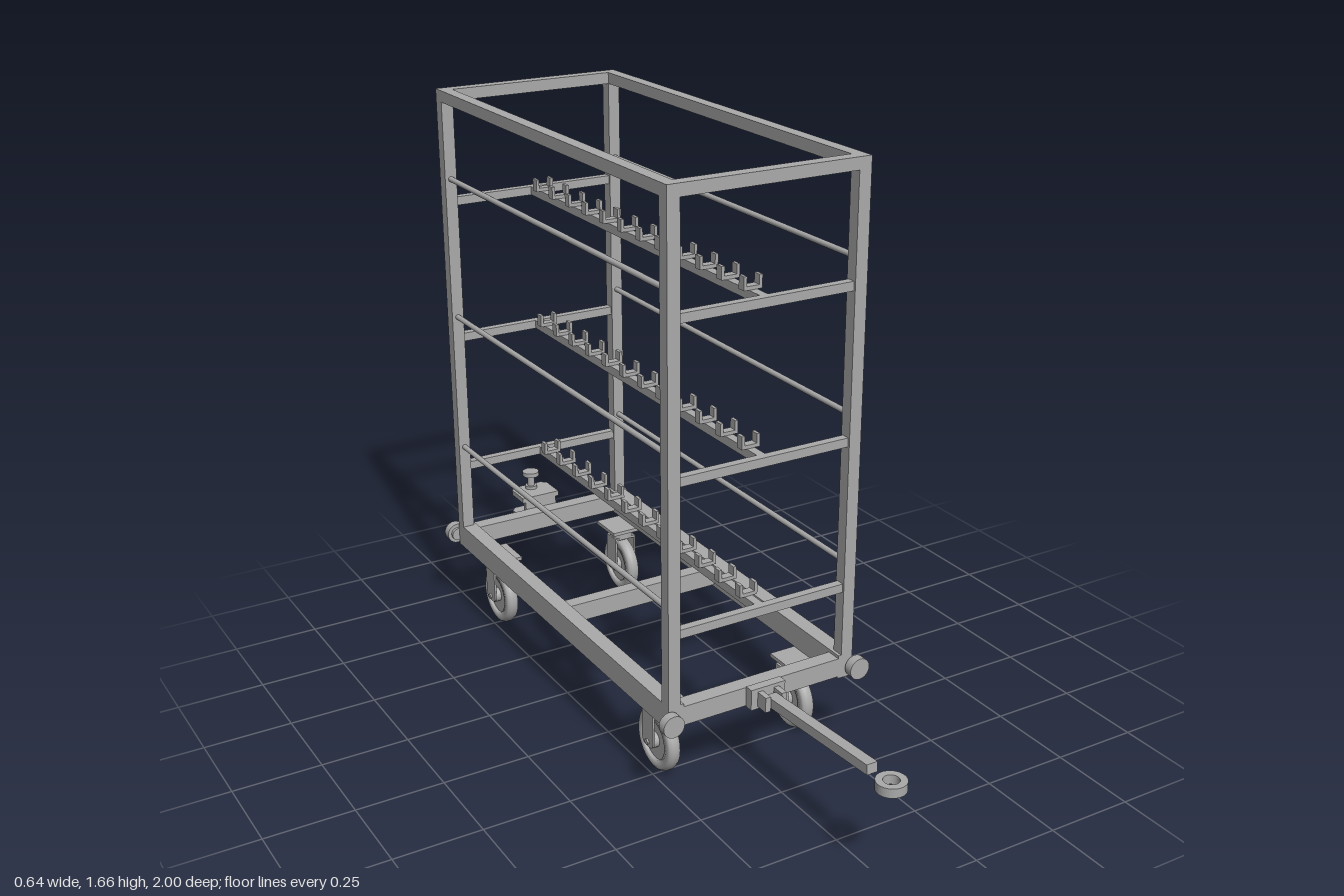
import * as THREE from 'three';

export function createModel() {
  const steel = new THREE.MeshStandardMaterial({ color: 0xaaaaaa });
  steel.name = 'steelGrey';
  const root = new THREE.Group();
  root.name = 'towableRackTrolley';

  const add = (parent, name, geo, x = 0, y = 0, z = 0) => {
    const m = new THREE.Mesh(geo, steel);
    m.name = name;
    m.position.set(x, y, z);
    parent.add(m);
    return m;
  };
  // Box given by its min/max limits on each axis
  const box = (parent, name, [x0, x1], [y0, y1], [z0, z1]) =>
    add(parent, name, new THREE.BoxGeometry(x1 - x0, y1 - y0, z1 - z0),
      (x0 + x1) / 2, (y0 + y1) / 2, (z0 + z1) / 2);
  // Cylinder along a chosen axis
  const rod = (parent, name, r, len, axis, x, y, z, r2 = r) => {
    const g = new THREE.CylinderGeometry(r, r2, len, 32);
    if (axis === 'x') g.rotateZ(Math.PI / 2);
    if (axis === 'z') g.rotateX(Math.PI / 2);
    return add(parent, name, g, x, y, z);
  };
  const group = (name) => {
    const g = new THREE.Group();
    g.name = name;
    root.add(g);
    return g;
  };

  const F = 0.402, B = -0.904, W = 0.288, T = 0.036; // frame ends, half width, tube

  // Upright frame: four posts joined by a top rectangle
  const frame = group('frame');
  for (const s of [-1, 1]) {
    const xs = s < 0 ? [-W, -W + T] : [W - T, W];
    for (const z of [F - T, B]) box(frame, 'post', xs, [0.29, 1.627], [z, z + T]);
    box(frame, 'topSideRail', xs, [1.627, 1.66], [B, F]);
  }
  for (const z of [F - T, B])
    box(frame, 'topEndRail', [-W + T, W - T], [1.627, 1.66], [z, z + T]);

  // Base: deep side beams, end beams and one middle beam
  const base = group('base');
  for (const s of [-1, 1])
    box(base, 'sideBeam', s < 0 ? [-W, -0.243] : [0.243, W], [0.226, 0.296], [B, F]);
  for (const z of [F - 0.045, B])
    box(base, 'endBeam', [-0.243, 0.243], [0.232, 0.287], [z, z + 0.045]);
  box(base, 'middleBeam', [-0.243, 0.243], [0.232, 0.287], [-0.28, -0.238]);

  // Round corner bumpers
  for (const x of [-0.291, 0.291])
    for (const [z, d] of [[F, 1], [B, -1]]) {
      rod(base, 'bumperNeck', 0.02, 0.014, 'z', x, 0.258, z + d * 0.005);
      rod(base, 'bumper', 0.031, 0.026, 'z', x, 0.258, z + d * 0.021);
    }

  // Shelves: end bars, a central rail with U clips, and side guard rods
  for (const y of [0.483, 0.902, 1.321]) {
    const shelf = group('shelf');
    for (const z of [F - 0.03, B + 0.006])
      box(shelf, 'endBar', [-W + T, W - T], [y, y + 0.025], [z, z + 0.024]);
    box(shelf, 'centreRail', [-0.012, 0.012], [y, y + 0.025], [B + 0.03, F - 0.03]);
    for (const x of [-0.27, 0.27])
      rod(shelf, 'guardRod', 0.008, F - B - 2 * T, 'z', x, y + 0.081, (F + B) / 2);
    for (let i = 0; i < 12; i++) {
      const z = 0.314 - i * 0.1029, zs = [z - 0.012, z + 0.012];
      box(shelf, 'clipBase', [-0.027, 0.027], [y + 0.025, y + 0.035], zs);
      for (const x of [-0.027, 0.018])
        box(shelf, 'clipArm', [x, x + 0.009], [y + 0.035, y + 0.061], zs);
    }
  }

  // Caster parts shared by all four wheels
  const tyreProfile = [[0.058, -0.018], [0.078, -0.02], [0.085, -0.016], [0.09, -0.007],
    [0.09, 0.007], [0.085, 0.016], [0.078, 0.02], [0.058, 0.018], [0.058, -0.018]]
    .map(([r, h]) => new THREE.Vector2(r, h));
  const tyre = new THREE.LatheGeometry(tyreProfile, 40).rotateZ(Math.PI / 2);
  const cheekShape = new THREE.Shape();
  cheekShape.moveTo(-0.029, 0.192);
  cheekShape.lineTo(-0.029, 0.1);
  cheekShape.quadraticCurveTo(-0.029, 0.078, -0.01, 0.078);
  cheekShape.lineTo(0.01, 0.078);
  cheekShape.quadraticCurveTo(0.029, 0.078, 0.029, 0.1);
  cheekShape.lineTo(0.029, 0.192);
  const cheek = new THREE.ExtrudeGeometry(cheekShape, { depth: 0.006, bevelEnabled: false })
    .translate(0, 0, -0.003).rotateY(Math.PI / 2);

  for (const x of [-0.215, 0.215])
    for (const [z, plateZ] of [[0.225, 0.248], [-0.764, -0.772]]) {
      const caster = group('caster');
      caster.position.set(x, 0, z);
      const dz = plateZ - z, front = z > 0;
      box(caster, 'mountPlate', [-0.052, 0.052], [0.215, 0.226], [dz - 0.057, dz + 0.057]);
      rod(caster, 'swivel', 0.036, 0.026, 'y', 0, 0.203, front ? 0.038 : 0);
      box(caster, 'forkTop', [-0.036, 0.036], [0.186, 0.193], [-0.029, front ? 0.06 : 0.029]);
      for (const s of [-1, 1]) add(caster, 'forkCheek', cheek, s * 0.033);
      add(caster, 'tyre', tyre, 0, 0.092, 0);
      rod(caster, 'wheelDisc', 0.06, 0.022, 'x', 0, 0.092, 0);
      rod(caster, 'hub', 0.022, 0.058, 'x', 0, 0.092, 0);
      rod(caster, 'axle', 0.008, 0.082, 'x', 0, 0.092, 0);
    }

  // Tow bar with bracket, sloping arm and flat ring
  const tow = group('towBar');
  box(tow, 'bracketPlate', [-0.053, 0.053], [0.23, 0.29], [F, 0.428]);
  for (const x of [-0.033, 0.017])
    box(tow, 'bracketLug', [x, x + 0.016], [0.237, 0.28], [0.428, 0.466]);
  rod(tow, 'hingePin', 0.009, 0.066, 'x', 0, 0.258, 0.448);
  const arm = box(tow, 'arm', [-0.016, 0.016], [0.259, 0.287], [0.44, 0.884]);
  arm.rotation.x = -0.07;
  const ringShape = new THREE.Shape().absarc(0, 0, 0.04, 0, Math.PI * 2, false);
  ringShape.holes.push(new THREE.Path().absarc(0, 0, 0.021, 0, Math.PI * 2, true));
  const ring = new THREE.ExtrudeGeometry(ringShape,
    { depth: 0.026, bevelEnabled: false, curveSegments: 24 }).rotateX(-Math.PI / 2);
  add(tow, 'towRing', ring, 0, 0.273, 0.96);

  // Rear hitch: two plates on a bracket with a drop pin
  const hitch = group('rearHitch');
  box(hitch, 'hitchBack', [-0.053, 0.053], [0.24, 0.327], [-0.92, B]);
  const plate = new THREE.Shape([[-0.063, 0], [0.063, 0], [0.063, 0.08], [0.047, 0.096],
    [-0.047, 0.096], [-0.063, 0.08]].map(([x, y]) => new THREE.Vector2(x, y)));
  plate.holes.push(new THREE.Path().absarc(0, 0.069, 0.013, 0, Math.PI * 2, true));
  const plateGeo = new THREE.ExtrudeGeometry(plate, { depth: 0.016, bevelEnabled: false })
    .rotateX(-Math.PI / 2);
  for (const y of [0.24, 0.311]) add(hitch, 'hitchPlate', plateGeo, 0, y, B);
  rod(hitch, 'pin', 0.011, 0.165, 'y', 0, 0.293, -0.973);
  rod(hitch, 'pinHead', 0.026, 0.014, 'y', 0, 0.378, -0.973);
  rod(hitch, 'pinCollar', 0.019, 0.01, 'y', 0, 0.332, -0.973);
  return root;
}
